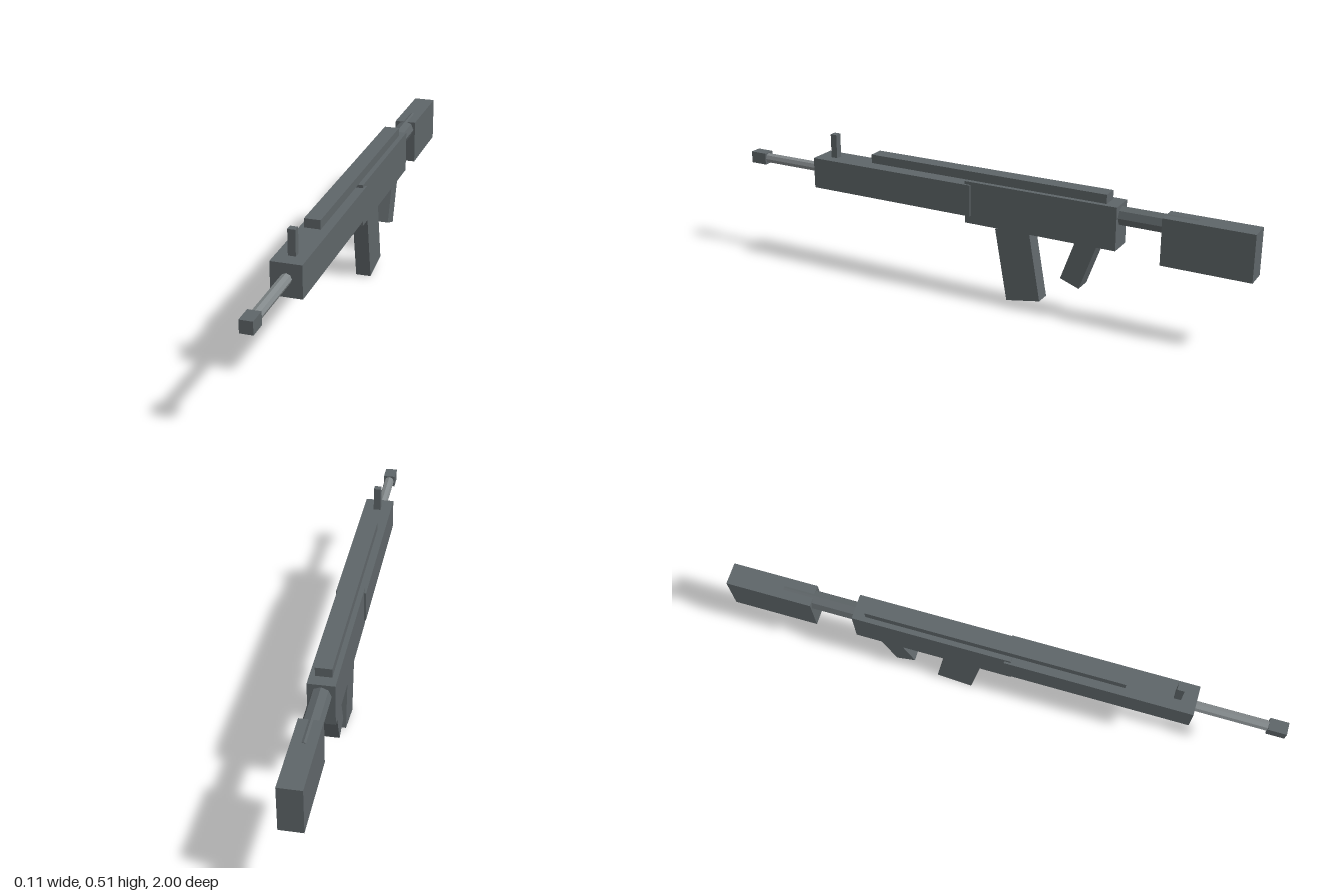
import * as THREE from 'three';

const rad = THREE.MathUtils.degToRad;

export function createModel() {
  const model = new THREE.Group();

  const flat = (name, color) => {
    const material = new THREE.MeshStandardMaterial({ color, flatShading: true });
    material.name = name;
    return material;
  };
  const gunmetal = flat('gunmetal', 0x5e6568);
  const steel = flat('steel', 0x83898b);

  const add = (name, geometry, y, z, tilt = 0, material = gunmetal) => {
    const mesh = new THREE.Mesh(geometry, material);
    mesh.name = name;
    mesh.position.set(0, y, z);
    mesh.rotation.x = rad(tilt);
    model.add(mesh);
  };

  // Upright block given by its full width and its y and z ranges
  const block = (name, width, y0, y1, z0, z1) =>
    add(name, new THREE.BoxGeometry(width, y1 - y0, z1 - z0), (y0 + y1) / 2, (z0 + z1) / 2);

  // Eight-sided tube lying along z
  const tube = (name, radius, y, z0, z1, material) =>
    add(name, new THREE.CylinderGeometry(radius, radius, z1 - z0, 8).rotateX(Math.PI / 2), y, (z0 + z1) / 2, 0, material);

  // Body
  block('receiver', 0.092, 0.274, 0.428, -0.534, 0.038);
  block('handguard', 0.106, 0.302, 0.417, 0.015, 0.68);
  block('topRail', 0.056, 0.428, 0.46, -0.49, 0.437);
  block('frontSight', 0.026, 0.415, 0.506, 0.602, 0.627);

  // Barrel and muzzle
  tube('barrel', 0.019, 0.365, 0.66, 0.95, steel);
  block('muzzle', 0.044, 0.343, 0.387, 0.935, 1);

  // Shoulder stock on its tube
  tube('stockTube', 0.034, 0.386, -0.8, -0.51, gunmetal);
  block('stock', 0.08, 0.252, 0.417, -1, -0.69);

  // Tilted magazine and grip
  add('magazine', new THREE.BoxGeometry(0.056, 0.267, 0.132), 0.143, -0.162, 10);
  add('grip', new THREE.BoxGeometry(0.066, 0.19, 0.075), 0.207, -0.398, -20);

  return model;
}
